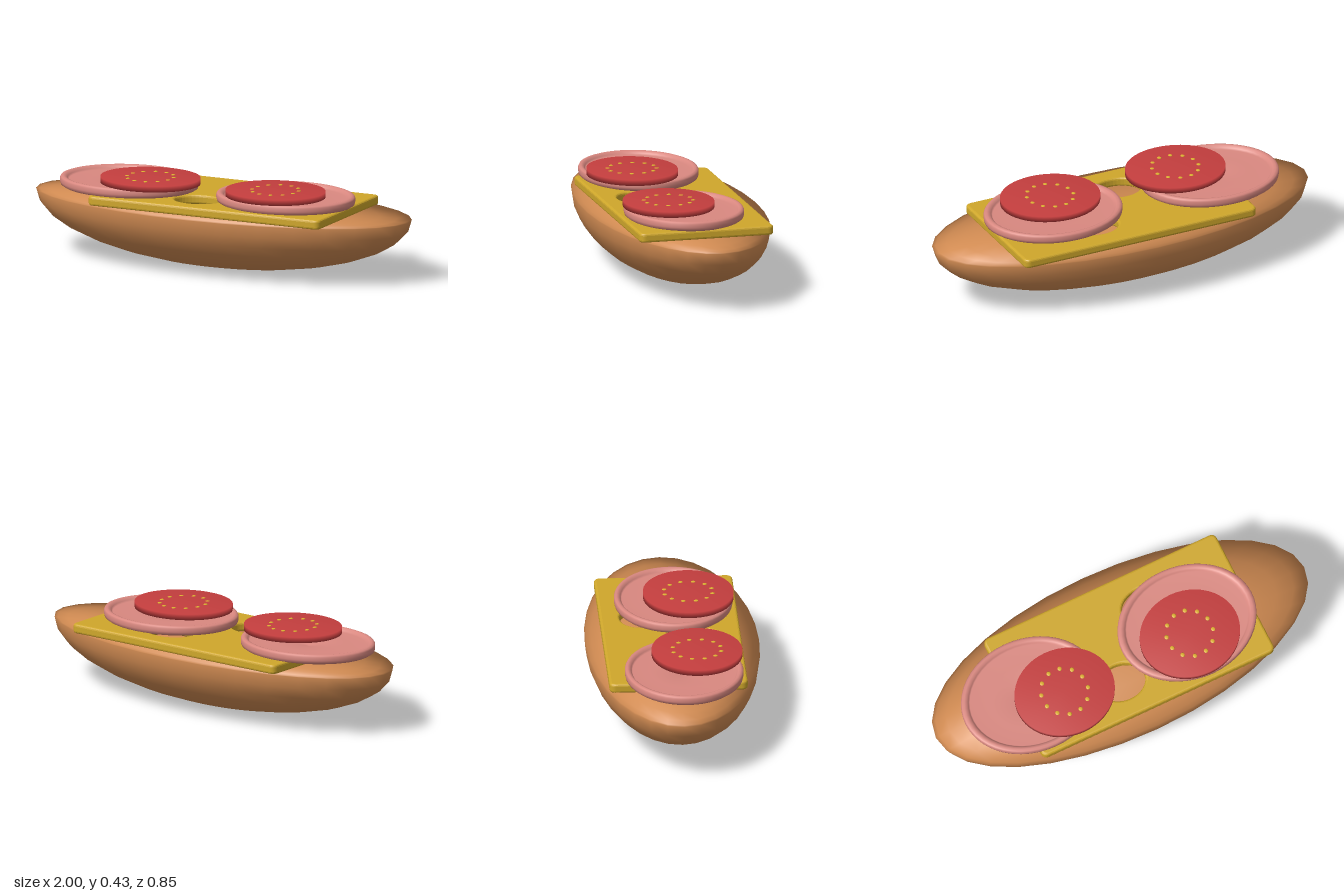
import * as THREE from 'three';

const material = (name, color) => {
  const m = new THREE.MeshStandardMaterial({ color });
  m.name = name;
  return m;
};

export function createModel() {
  const sandwich = new THREE.Group();
  sandwich.name = 'openSandwich';
  const bread = material('breadBrown', 0xd18b52);
  const cheese = material('cheeseYellow', 0xcfa72b);
  const meat = material('sausagePink', 0xd98880);
  const tomato = material('tomatoRed', 0xc43e3e);
  const seed = material('seedYellow', 0xdcae30);

  const add = (name, geometry, mat, parent = sandwich) => {
    const mesh = new THREE.Mesh(geometry, mat);
    mesh.name = name;
    parent.add(mesh);
    return mesh;
  };
  const lathe = (points) =>
    new THREE.LatheGeometry(points.map(([x, y]) => new THREE.Vector2(x, y)), 48);

  // Half bun: an ellipsoid whose upper half is pressed flat, keeping soft normals
  const bunGeometry = new THREE.SphereGeometry(1, 32, 16);
  bunGeometry.scale(1, 0.307, 0.425);
  const p = bunGeometry.attributes.position;
  for (let i = 0; i < p.count; i++) p.setY(i, Math.min(p.getY(i), 0) + 0.31);
  add('bunHalf', bunGeometry, bread);

  // Cheese slice: bevelled plate with round holes
  const bevel = 0.012;
  const [x0, x1, y0, y1] = [-0.58 + bevel, 0.68 - bevel, -0.335 + bevel, 0.34 - bevel];
  const c = 0.02;
  const slice = new THREE.Shape();
  slice.moveTo(x0 + c, y0);
  slice.lineTo(x1 - c, y0);
  slice.quadraticCurveTo(x1, y0, x1, y0 + c);
  slice.lineTo(x1, y1 - c);
  slice.quadraticCurveTo(x1, y1, x1 - c, y1);
  slice.lineTo(x0 + c, y1);
  slice.quadraticCurveTo(x0, y1, x0, y1 - c);
  slice.lineTo(x0, y0 + c);
  slice.quadraticCurveTo(x0, y0, x0 + c, y0);
  for (const [x, y] of [[-0.065, -0.155], [0.21, 0.15]]) {
    const hole = new THREE.Path();
    hole.absellipse(x, y, 0.13, 0.105, 0, Math.PI * 2, true);
    slice.holes.push(hole);
  }
  const cheeseGeometry = new THREE.ExtrudeGeometry(slice, {
    depth: 0.047 - 2 * bevel, bevelEnabled: true, bevelSize: bevel,
    bevelThickness: bevel, bevelSegments: 3, curveSegments: 20,
  });
  cheeseGeometry.rotateX(-Math.PI / 2).translate(0, 0.308 + bevel, 0);
  add('cheeseSlice', cheeseGeometry, cheese);

  // Sausage slices: raised rind, shallow face and a dimple in the middle
  const sausageGeometry = lathe([
    [0, 0], [0.335, 0], [0.347, 0.008], [0.35, 0.02], [0.35, 0.036], [0.345, 0.044],
    [0.333, 0.048], [0.32, 0.045], [0.312, 0.036], [0.305, 0.028], [0.2, 0.031],
    [0.09, 0.027], [0, 0.012],
  ]).scale(1, 1, 0.826);

  // Tomato slices: thin oval discs with softly shaded rims
  const tomatoGeometry = lathe([[0, 0], [0.25, 0], [0.25, 0.029], [0, 0.029]]).scale(1, 1, 0.885);
  const seedGeometry = new THREE.SphereGeometry(0.011, 8, 6).scale(1, 0.3, 1.1);

  const toppings = [
    { side: 'right', meatX: -0.5, tomatoX: -0.35 },
    { side: 'left', meatX: 0.35, tomatoX: 0.33 },
  ];
  for (const { side, meatX, tomatoX } of toppings) {
    add(side + 'SausageSlice', sausageGeometry, meat).position.set(meatX, 0.353, 0.028);

    const group = new THREE.Group();
    group.name = side + 'Tomato';
    group.position.set(tomatoX, 0.4, 0.1);
    sandwich.add(group);
    add(side + 'TomatoSlice', tomatoGeometry, tomato, group);
    // Ring of seeds
    for (let i = 0; i < 12; i++) {
      const a = ((i + 0.5) / 12) * Math.PI * 2;
      add('tomatoSeed', seedGeometry, seed, group)
        .position.set(Math.cos(a) * 0.115, 0.029, Math.sin(a) * 0.12);
    }
  }
  return sandwich;
}
